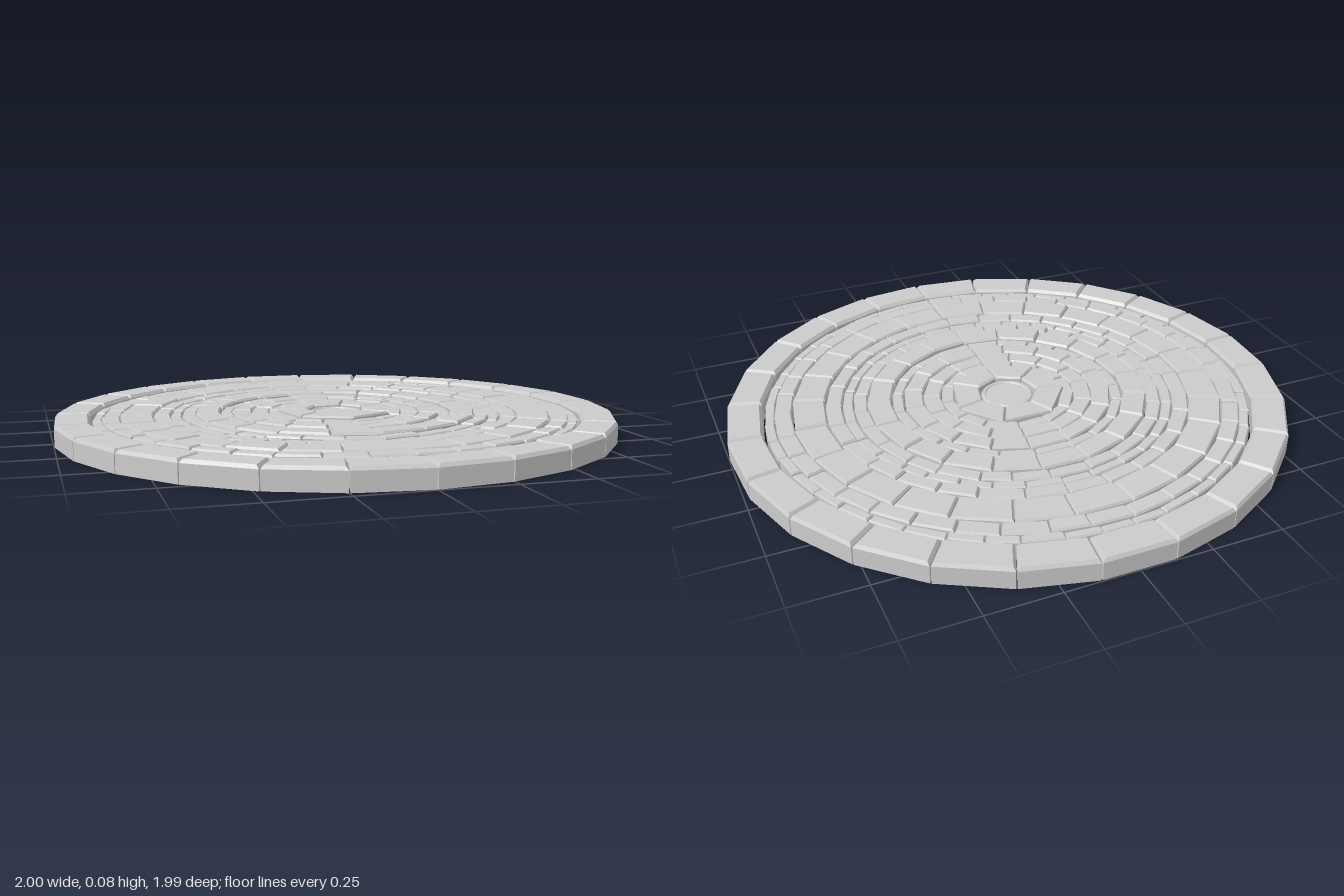
import * as THREE from 'three';

const stoneMaterial = new THREE.MeshStandardMaterial({
  color: 0xcccccc, flatShading: true, side: THREE.DoubleSide,
});

// Small seeded generator for the hand-laid unevenness
function seeded(seed) {
  return () => {
    seed = (seed * 16807) % 2147483647;
    return seed / 2147483647;
  };
}

// One wedge-shaped stone, hollow underneath, with a chamfered top edge.
// Angles run from -z; inner and outer are the distances to the flat sides.
function stoneGeometry(inner, outer, a0, a1, height, bevel, skew) {
  const k = 1 / Math.cos((a1 - a0) / 2);
  const gap = 0.002;
  const loop = (inset, y) => [[inner, a0], [inner, a1], [outer, a1], [outer, a0]].map(([r, a], i) => {
    const rr = (r + (i < 2 ? inset : -inset)) * k;
    const side = (i === 0 || i === 3 ? 1 : -1) * (gap + inset) / rr;
    const angle = a + side;
    return [rr * Math.sin(angle), y + (i === 0 || i === 3 ? skew : -skew), -rr * Math.cos(angle)];
  });
  const foot = loop(0, 0).map(([x, , z]) => [x, 0, z]);
  const shoulder = loop(0, height - bevel);
  const crown = loop(bevel * 0.7, height);
  const points = [];
  const quad = (a, b, c, d) => points.push(...a, ...c, ...b, ...a, ...d, ...c);
  for (let i = 0; i < 4; i++) {
    const j = (i + 1) % 4;
    quad(foot[i], foot[j], shoulder[j], shoulder[i]);
    quad(shoulder[i], shoulder[j], crown[j], crown[i]);
  }
  quad(...crown);
  const geometry = new THREE.BufferGeometry();
  geometry.setAttribute('position', new THREE.Float32BufferAttribute(points, 3));
  geometry.computeVertexNormals();
  return geometry;
}

export function createModel() {
  const model = new THREE.Group();
  const random = seeded(421);

  // Rings from the rim inwards
  const rings = [
    { name: 'rimStones', inner: 0.872, outer: 0.992, count: 25, height: 0.075, bevel: 0.012, jitter: 0 },
    { name: 'rimFillerCourse', inner: 0.83, outer: 0.863, count: 45, height: 0.064, bevel: 0.006, jitter: 0.2 },
    { name: 'smallOuterCourse', inner: 0.768, outer: 0.828, count: 37, height: 0.07, bevel: 0.007, jitter: 0.15 },
    { name: 'wideOuterCourse', inner: 0.652, outer: 0.764, count: 25, height: 0.073, bevel: 0.008, jitter: 0.1 },
    { name: 'smallMiddleCourse', inner: 0.592, outer: 0.648, count: 29, height: 0.07, bevel: 0.007, jitter: 0.15 },
    { name: 'narrowMiddleCourse', inner: 0.553, outer: 0.589, count: 33, height: 0.066, bevel: 0.006, jitter: 0.2 },
    { name: 'fillerMiddleCourse', inner: 0.502, outer: 0.55, count: 27, height: 0.069, bevel: 0.006, jitter: 0.2 },
    { name: 'wideMiddleCourse', inner: 0.414, outer: 0.498, count: 19, height: 0.077, bevel: 0.008, jitter: 0.1 },
    { name: 'narrowInnerCourse', inner: 0.372, outer: 0.41, count: 21, height: 0.068, bevel: 0.006, jitter: 0.2 },
    { name: 'outerInnerCourse', inner: 0.303, outer: 0.369, count: 17, height: 0.073, bevel: 0.007, jitter: 0.15 },
    { name: 'middleInnerCourse', inner: 0.238, outer: 0.3, count: 15, height: 0.071, bevel: 0.007, jitter: 0.15 },
    { name: 'smallInnerCourse', inner: 0.19, outer: 0.235, count: 13, height: 0.069, bevel: 0.006, jitter: 0.15 },
    { name: 'hubStones', inner: 0.096, outer: 0.187, count: 7, height: 0.08, bevel: 0.007, jitter: 0 },
  ];

  for (const { name, inner, outer, count, height, bevel, jitter } of rings) {
    const ring = new THREE.Group();
    ring.name = name;
    const step = (Math.PI * 2) / count;
    const joints = [];
    for (let i = 0; i < count; i++) joints.push((i - 0.5 + (random() - 0.5) * jitter) * step);
    joints.push(joints[0] + Math.PI * 2);
    for (let i = 0; i < count; i++) {
      const lift = jitter ? (random() - 0.5) * 0.005 : 0;
      const skew = (random() - 0.5) * (jitter ? 0.003 : 0.001);
      const shift = jitter ? (random() - 0.5) * 0.004 : 0;
      const stone = new THREE.Mesh(
        stoneGeometry(inner + shift, outer + shift, joints[i], joints[i + 1], height + lift, bevel, skew),
        stoneMaterial,
      );
      stone.name = 'stone';
      ring.add(stone);
    }
    model.add(ring);
  }

  // Round centre stone, set a little below the hub stones
  const profile = [[0.094, 0], [0.094, 0.064], [0.088, 0.07], [0.08, 0.07], [0.077, 0.066], [0, 0.066]];
  const centre = new THREE.Mesh(
    new THREE.LatheGeometry(profile.map(([x, y]) => new THREE.Vector2(x, y)), 24),
    stoneMaterial,
  );
  centre.name = 'centreStone';
  model.add(centre);

  // The odd-sided rim is balanced about z = 0
  for (const part of model.children) part.position.z = -0.004;
  return model;
}
